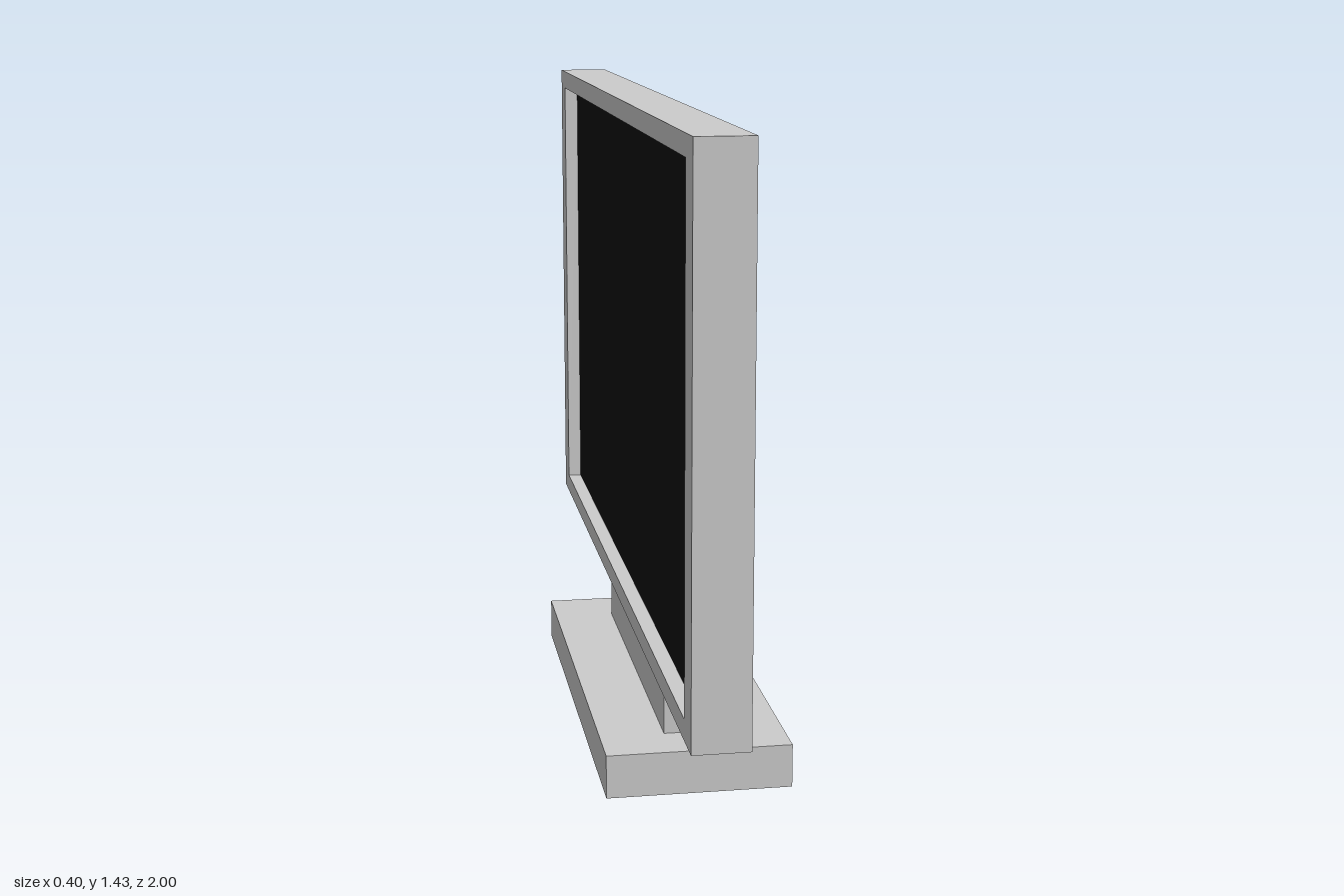
import * as THREE from 'three';

const grey = new THREE.MeshStandardMaterial({ color: 0xcccccc, flatShading: true });
const black = new THREE.MeshStandardMaterial({ color: 0x101010 });

// Panel extents: the screen faces -x
const FRONT = -0.11, RECESS = -0.076, BACK = 0.005;
const BOTTOM = 0.295, TOP = 1.43, HALF = 1;
const SIDE_BEZEL = 0.075, EDGE_BEZEL = 0.043;

function add(group, name, geometry, material = grey) {
  const mesh = new THREE.Mesh(geometry, material);
  mesh.name = name;
  group.add(mesh);
}

// Box given by its lower and upper limits on each axis
function boxBetween([x0, x1], [y0, y1], [z0, z1]) {
  return new THREE.BoxGeometry(x1 - x0, y1 - y0, z1 - z0)
    .translate((x0 + x1) / 2, (y0 + y1) / 2, (z0 + z1) / 2);
}

function rectanglePoints(x0, y0, x1, y1) {
  return [[x0, y0], [x1, y0], [x1, y1], [x0, y1]].map(([x, y]) => new THREE.Vector2(x, y));
}

export function createModel() {
  const group = new THREE.Group();
  group.name = 'television';

  // Base plate
  add(group, 'base', boxBetween([-0.2, 0.2], [0, 0.095], [-0.575, 0.49]));

  // Stand: foot under the panel, with an upright plate behind it
  const profile = new THREE.Shape([
    [-0.06, 0.095], [0.11, 0.095], [0.11, 0.9], [BACK, 0.9], [BACK, BOTTOM], [-0.06, BOTTOM],
  ].map(([x, y]) => new THREE.Vector2(x, y)));
  add(group, 'stand', new THREE.ExtrudeGeometry(profile, { depth: 0.83, bevelEnabled: false })
    .translate(0, 0, -0.447));

  // Rear housing of the panel
  add(group, 'housing', boxBetween([RECESS, BACK], [BOTTOM, TOP], [-HALF, HALF]));

  // Raised bezel around the screen
  const y0 = BOTTOM + EDGE_BEZEL, y1 = TOP - EDGE_BEZEL, z1 = HALF - SIDE_BEZEL;
  const bezel = new THREE.Shape(rectanglePoints(-HALF, BOTTOM, HALF, TOP));
  bezel.holes.push(new THREE.Path(rectanglePoints(-z1, y0, z1, y1).reverse()));
  add(group, 'bezel', new THREE.ExtrudeGeometry(bezel, { depth: RECESS - FRONT, bevelEnabled: false })
    .rotateY(-Math.PI / 2).translate(RECESS, 0, 0));

  // Recessed dark screen
  add(group, 'screen', new THREE.PlaneGeometry(2 * z1, y1 - y0)
    .rotateY(-Math.PI / 2).translate(RECESS - 0.002, (y0 + y1) / 2, 0), black);

  return group;
}
